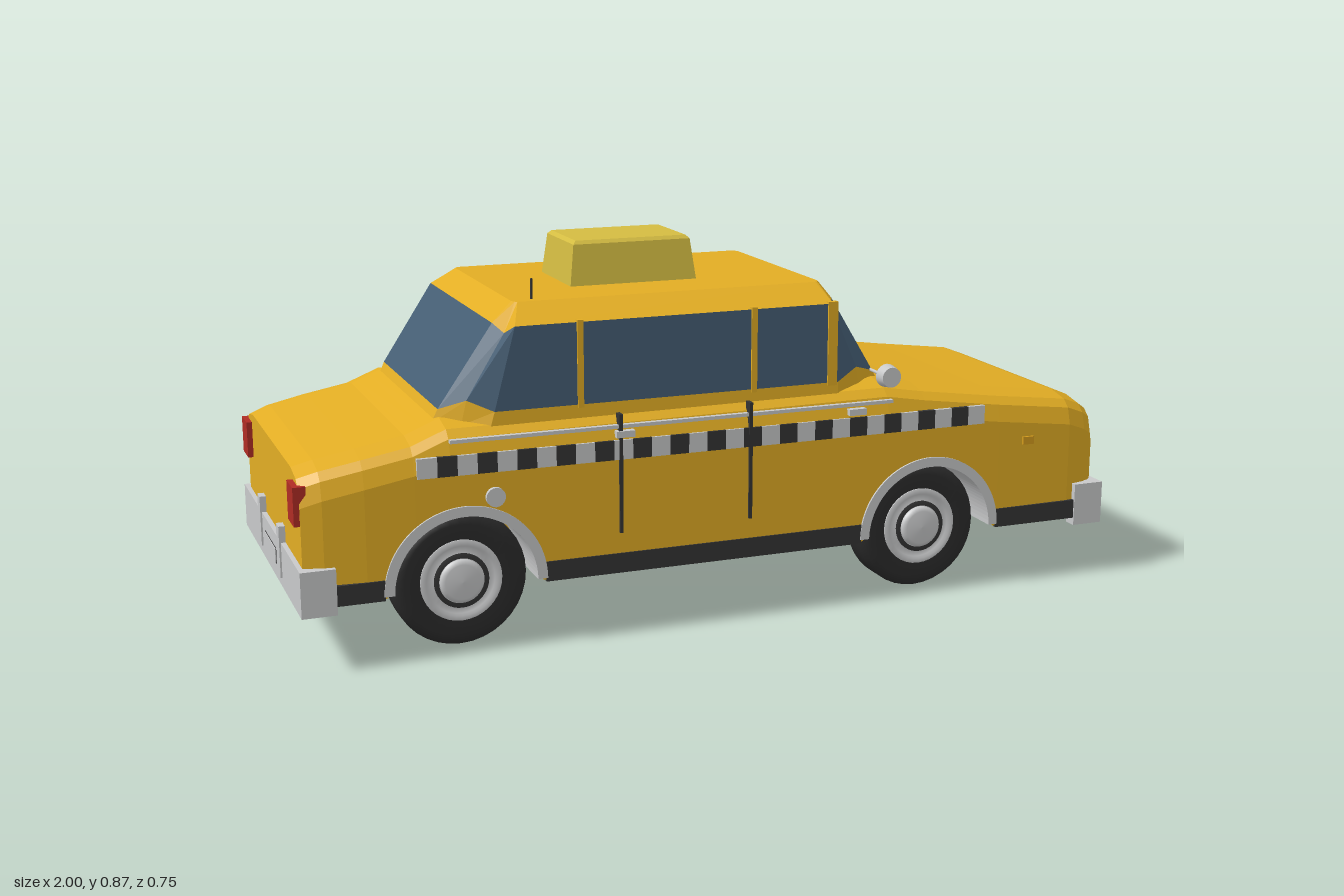
import * as THREE from 'three';

const mat = (name, color) => {
  const m = new THREE.MeshStandardMaterial({ color });
  m.name = name;
  return m;
};

export function createModel() {
  const car = new THREE.Group();
  car.name = 'taxi';
  const yellow = mat('body yellow', 0xe2ad24);
  const pale = mat('sign yellow', 0xd4bc42);
  const glass = mat('window blue', 0x455e74);
  const chrome = mat('chrome', 0xc8c9ca);
  const dark = mat('dark trim', 0x343434);
  const tyreMat = mat('tyre black', 0x2b2b2b);
  const red = mat('tail red', 0xb02c24);
  const amber = mat('amber', 0xd29a1c);

  const add = (name, geo, material, x = 0, y = 0, z = 0, parent = car) => {
    const m = new THREE.Mesh(geo, material);
    m.name = name;
    m.position.set(x, y, z);
    parent.add(m);
    return m;
  };
  // Box given by its limits on each axis
  const box = (name, material, x0, x1, y0, y1, z0, z1) => add(name,
    new THREE.BoxGeometry(x1 - x0, y1 - y0, Math.abs(z1 - z0)), material,
    (x0 + x1) / 2, (y0 + y1) / 2, (z0 + z1) / 2);
  // Flat-faced skin through closed rings, counterclockwise about the loft direction
  const loft = (rings, capStart, capEnd) => {
    const v = [];
    const tri = (...p) => p.forEach(q => v.push(...q));
    const n = rings[0].length;
    const mid = r => [0, 1, 2].map(k => r.reduce((s, p) => s + p[k], 0) / n);
    for (let j = 0; j < rings.length - 1; j++) {
      const a = rings[j], b = rings[j + 1];
      for (let i = 0; i < n; i++) {
        const k = (i + 1) % n;
        tri(a[i], a[k], b[k]);
        tri(a[i], b[k], b[i]);
      }
    }
    const first = rings[0], last = rings[rings.length - 1];
    for (let i = 0; i < n; i++) {
      const k = (i + 1) % n;
      if (capStart) tri(mid(first), first[k], first[i]);
      if (capEnd) tri(mid(last), last[i], last[k]);
    }
    const g = new THREE.BufferGeometry();
    g.setAttribute('position', new THREE.Float32BufferAttribute(v, 3));
    g.computeVertexNormals();
    return g;
  };

  // Lower body: stations of x, top height and half width, with wheel wells cut from below
  const wheels = [-0.63, 0.515], axleY = 0.155, wellR = 0.175, floorY = 0.15;
  const stations = [[-0.985, 0.435, 0.345], [-0.94, 0.45, 0.358], [-0.85, 0.468, 0.366], [-0.74, 0.488, 0.367],
    [-0.66, 0.52, 0.367], [0.4, 0.525, 0.367], [0.5, 0.508, 0.367], [0.7, 0.48, 0.367],
    [0.9, 0.455, 0.364], [0.95, 0.436, 0.352], [0.975, 0.42, 0.34], [0.985, 0.395, 0.33]];
  const xs = stations.map(s => s[0]);
  for (const w of wheels) {
    xs.push(w - wellR - 0.001, w + wellR + 0.001);
    for (let i = 0; i <= 16; i++) xs.push(w + wellR * Math.cos(Math.PI * i / 16));
  }
  xs.sort((a, b) => a - b);
  const bodyRings = xs.map(x => {
    const i = Math.max(1, stations.findIndex(s => s[0] >= x));
    const a = stations[i - 1], b = stations[i], t = (x - a[0]) / (b[0] - a[0]);
    const top = a[1] + (b[1] - a[1]) * t, w = a[2] + (b[2] - a[2]) * t;
    let low = floorY;
    for (const c of wheels) {
      const d = wellR * wellR - (x - c) ** 2;
      if (d >= -1e-9) low = axleY + Math.sqrt(Math.max(0, d));
    }
    const half = [[w - 0.09, top], [w - 0.032, top - 0.012], [w - 0.012, top - 0.03],
      [w, top - 0.07], [w, low], [0.2, low], [0.2, floorY]];
    return [...half.map(p => [x, p[1], p[0]]), ...half.reverse().map(p => [x, p[1], -p[0]])];
  });
  add('body', loft(bodyRings, true, true), yellow);

  // Cabin: base, glass band and roof, with the corners notched
  const cabinRing = (y, yCorner, xr, zr, xrs, xfs, xf, zf, zs) => {
    const half = [[xrs, y, zs], [xfs, y, zs], [(xfs + xf) / 2, yCorner, (zs + zf) / 2 + 0.004], [xf, y, zf]];
    const rear = [[xr, y, zr], [(xr + xrs) / 2, yCorner, (zr + zs) / 2 + 0.004]];
    const flip = p => [p[0], p[1], -p[2]];
    return [...half, ...[...half].reverse().map(flip), ...[...rear].reverse().map(flip), ...rear];
  };
  const r0 = cabinRing(0.505, 0.505, -0.675, 0.26, -0.56, 0.28, 0.43, 0.25, 0.338);
  const r1 = cabinRing(0.537, 0.56, -0.66, 0.265, -0.55, 0.28, 0.412, 0.25, 0.336);
  const r2 = cabinRing(0.723, 0.705, -0.535, 0.275, -0.5, 0.265, 0.295, 0.26, 0.334);
  const r3 = cabinRing(0.762, 0.762, -0.48, 0.24, -0.47, 0.255, 0.268, 0.24, 0.255);
  add('cabinBase', loft([r0, r1]), yellow);
  add('windows', loft([r1, r2]), glass);
  add('roof', loft([r2, r3], false, true), yellow);

  // Dash vents lying on the windscreen
  for (const s of [-1, 1]) {
    const vent = add('windscreenVent', new THREE.BoxGeometry(0.008, 0.036, 0.134), dark, 0.391, 0.574, s * 0.074);
    vent.rotation.z = 0.56;
  }

  // Roof sign, narrower at the top, and aerial
  const signRing = (y, d) => [[-0.3 + d, y, 0.112 - d], [0.012 - d, y, 0.112 - d],
    [0.012 - d, y, -0.112 + d], [-0.3 + d, y, -0.112 + d]];
  add('roofSign', loft([signRing(0.76, 0), signRing(0.857, 0.012), signRing(0.865, 0.02)], false, true), pale);
  add('aerial', new THREE.CylinderGeometry(0.003, 0.003, 0.05, 8), dark, -0.43, 0.783, 0.23);

  // Wheel arch lip, a half ring
  const lip = new THREE.Shape();
  lip.absarc(0, 0, 0.185, 0, Math.PI, false);
  lip.absarc(0, 0, 0.162, Math.PI, 0, true);
  const lipGeo = new THREE.ExtrudeGeometry(lip, { depth: 0.172, bevelEnabled: false, curveSegments: 24 });

  const lathe = pts => new THREE.LatheGeometry(pts.map(p => new THREE.Vector2(...p)), 36).rotateX(Math.PI / 2);
  const tyreGeo = lathe([[0.085, -0.046], [0.13, -0.05], [0.147, -0.044], [0.155, -0.03],
    [0.155, 0.03], [0.147, 0.044], [0.13, 0.05], [0.09, 0.047]]);
  const rimGeo = lathe([[0, -0.04], [0.09, -0.045], [0.09, -0.045], [0.094, 0.05], [0.094, 0.05],
    [0.082, 0.054], [0.078, 0.046], [0.062, 0.046], [0.06, 0.05], [0, 0.05]]);
  const ringGeo = lathe([[0.052, 0.049], [0.063, 0.049], [0.063, 0.053], [0.052, 0.053]]);
  const hubGeo = lathe([[0.05, 0.045], [0.05, 0.058], [0.04, 0.064], [0, 0.066]]);

  for (const s of [-1, 1]) {
    const side = s > 0 ? 'left' : 'right';
    for (const x of wheels) {
      add('wheelArch', lipGeo, chrome, x, axleY, s > 0 ? 0.2 : -0.372);
      const wheel = new THREE.Group();
      wheel.name = 'wheel';
      wheel.position.set(x, axleY, s * 0.269);
      if (s < 0) wheel.rotation.y = Math.PI;
      car.add(wheel);
      add('tyre', tyreGeo, tyreMat, 0, 0, 0, wheel);
      add('rim', rimGeo, chrome, 0, 0, 0, wheel);
      add('hubRing', ringGeo, dark, 0, 0, 0, wheel);
      add('hubCap', hubGeo, chrome, 0, 0, 0, wheel);
    }
    // Sills between the arches
    for (const [a, b] of [[-0.93, -0.812], [-0.448, 0.333], [0.697, 0.92]])
      box('sill', dark, a, b, 0.146, 0.192, s * 0.36, s * 0.37);
    // Chequered band
    const n = 31, w = 1.39 / n;
    for (let i = 0; i < n; i++)
      box('chequer', i % 2 ? dark : chrome, -0.735 + i * w, -0.735 + (i + 1) * w, 0.411, 0.456, s * 0.362, s * 0.3715);
    box('sideTrim', chrome, -0.66, 0.41, 0.482, 0.49, s * 0.352, s * 0.368);
    // Door gaps, handles and window pillars
    for (const x of [-0.27, 0.045]) box('doorGap', dark, x - 0.004, x + 0.004, 0.24, 0.515, s * 0.35, s * 0.3725);
    for (const x of [-0.26, 0.315]) box('doorHandle', chrome, x - 0.022, x + 0.022, 0.462, 0.477, s * 0.36, s * 0.376);
    for (const [x, h] of [[-0.352, 0.007], [0.066, 0.007], [0.264, 0.012]])
      box('windowPillar', yellow, x - h, x + h, 0.53, 0.728, s * 0.325, s * 0.339);
    box('sideMarker', amber, 0.765, 0.795, 0.348, 0.367, s * 0.36, s * 0.3725);
    // Door mirror on a stalk
    const mirror = new THREE.CylinderGeometry(0.024, 0.028, 0.028, 20).rotateX(Math.PI / 2 * s);
    add(side + 'Mirror', mirror, chrome, 0.405, 0.543, s * 0.353);
    add('mirrorStalk', new THREE.CylinderGeometry(0.004, 0.004, 0.11, 8).rotateX(Math.PI / 2), chrome, 0.405, 0.54, s * 0.29);
    // Lamps
    const lamp = (r, d) => new THREE.CylinderGeometry(r * 0.93, r, d, 28).rotateZ(-Math.PI / 2);
    add('headlampRing', lamp(0.041, 0.024), chrome, 0.985, 0.348, s * 0.265);
    add('headlampGap', lamp(0.033, 0.003), dark, 0.997, 0.348, s * 0.265);
    add('headlamp', lamp(0.031, 0.004), chrome, 0.998, 0.348, s * 0.265);
    box('turnSignal', amber, 0.98, 0.991, 0.246, 0.27, s * 0.215, s * 0.259);
    box('tailLamp', red, -0.998, -0.97, 0.325, 0.412, s * 0.272, s * 0.342);
  }
  add('fuelCap', new THREE.CylinderGeometry(0.022, 0.022, 0.012, 20).rotateX(Math.PI / 2), chrome, -0.562, 0.355, 0.371);

  // Grille: dark panel, frame and bars
  box('grillePanel', dark, 0.975, 0.989, 0.24, 0.375, -0.16, 0.16);
  for (const y of [0.242, 0.37]) box('grilleFrame', chrome, 0.98, 0.995, y - 0.005, y + 0.005, -0.163, 0.163);
  for (const z of [-0.158, 0.158]) box('grilleFrame', chrome, 0.98, 0.995, 0.24, 0.372, z - 0.005, z + 0.005);
  for (let i = 1; i <= 4; i++) {
    const y = 0.242 + i * 0.0256;
    box('grilleBar', chrome, 0.98, 0.993, y - 0.004, y + 0.004, -0.155, 0.155);
  }

  // Bumpers with end returns, overriders and plate
  for (const d of [1, -1]) {
    const part = (name, material, a, b, ...rest) => box(name, material, Math.min(a * d, b * d), Math.max(a * d, b * d), ...rest);
    part('bumper', chrome, 0.968, 0.996, 0.128, 0.232, -0.373, 0.373);
    for (const s of [-1, 1]) {
      part('bumperEnd', chrome, 0.918, 0.97, 0.128, 0.232, s * 0.34, s * 0.373);
      part('overrider', chrome, 0.985, 1, 0.15, 0.27, s * 0.112, s * 0.144);
    }
    part('plateFrame', dark, 0.99, 0.9968, 0.162, 0.199, -0.074, 0.074);
    part('plate', chrome, 0.99, 0.9985, 0.164, 0.197, -0.072, 0.072);
  }
  return car;
}
